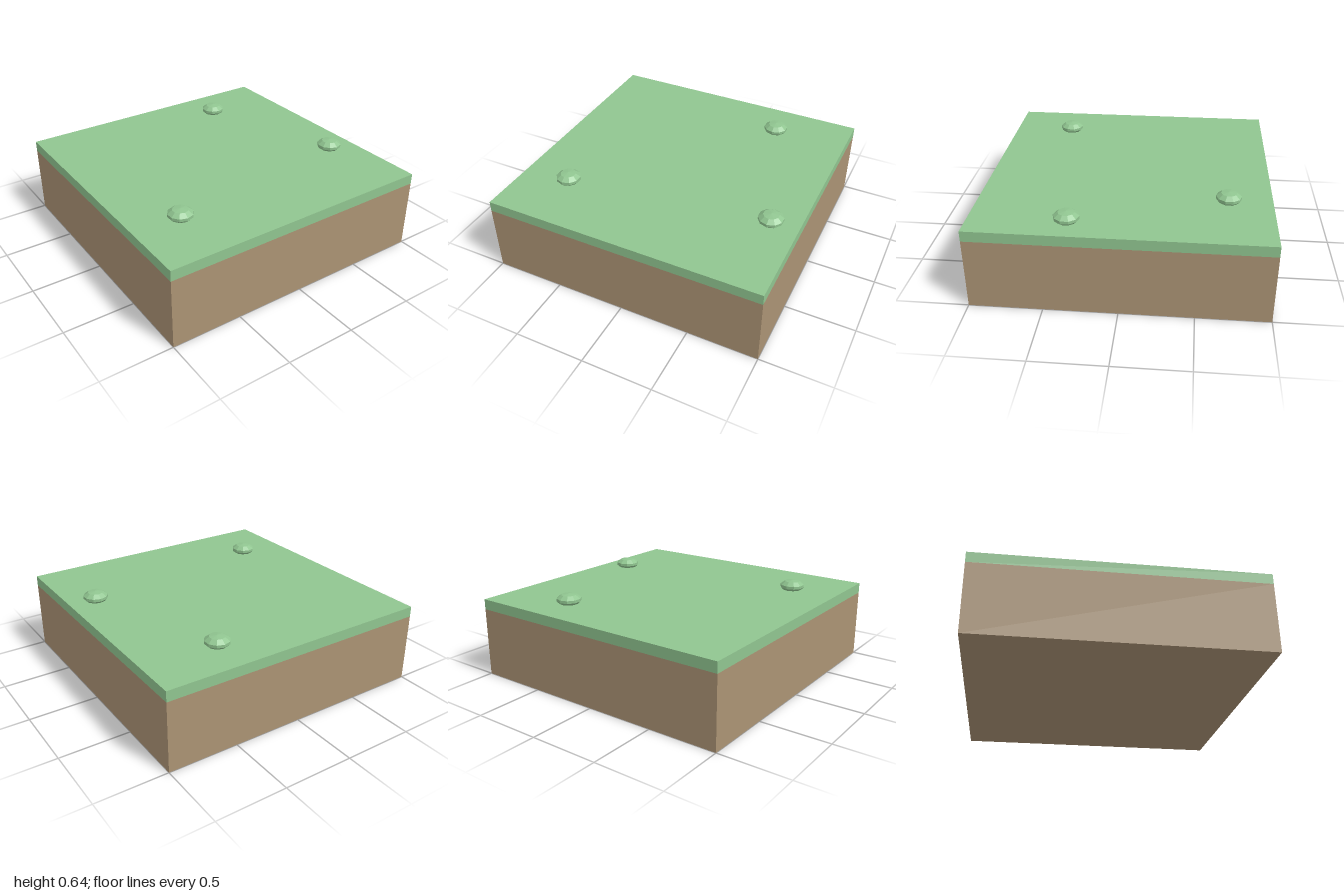
import * as THREE from 'three';

const material = (name, color, options = {}) => {
  const m = new THREE.MeshStandardMaterial({ color, ...options });
  m.name = name;
  return m;
};

export function createModel() {
  const group = new THREE.Group();
  group.name = 'grassBlock';
  const grass = material('grass green', 0x90c590, { flatShading: true });
  const earth = material('earth brown', 0xab9374, { flatShading: true });

  const slab = (name, bottom, top, mat) => {
    const mesh = new THREE.Mesh(new THREE.BoxGeometry(2, top - bottom, 2), mat);
    mesh.position.y = (bottom + top) / 2;
    mesh.name = name;
    group.add(mesh);
  };

  // Earth body with a turf layer on top
  slab('earth', 0, 0.5, earth);
  slab('turf', 0.5, 0.575, grass);

  // Low ten-sided grass tufts
  const profile = [[0.07, 0], [0.0875, 0.017], [0.0875, 0.037], [0.055, 0.062], [0, 0.07]]
    .map(([r, y]) => new THREE.Vector2(r, y));
  const tuftShape = new THREE.LatheGeometry(profile, 10);
  [[-0.65, 0.55], [0.8, 0.35], [0.45, -0.7]].forEach(([x, z], i) => {
    const tuft = new THREE.Mesh(tuftShape, grass);
    tuft.position.set(x, 0.575, z);
    tuft.name = `tuft${i + 1}`;
    group.add(tuft);
  });
  return group;
}
